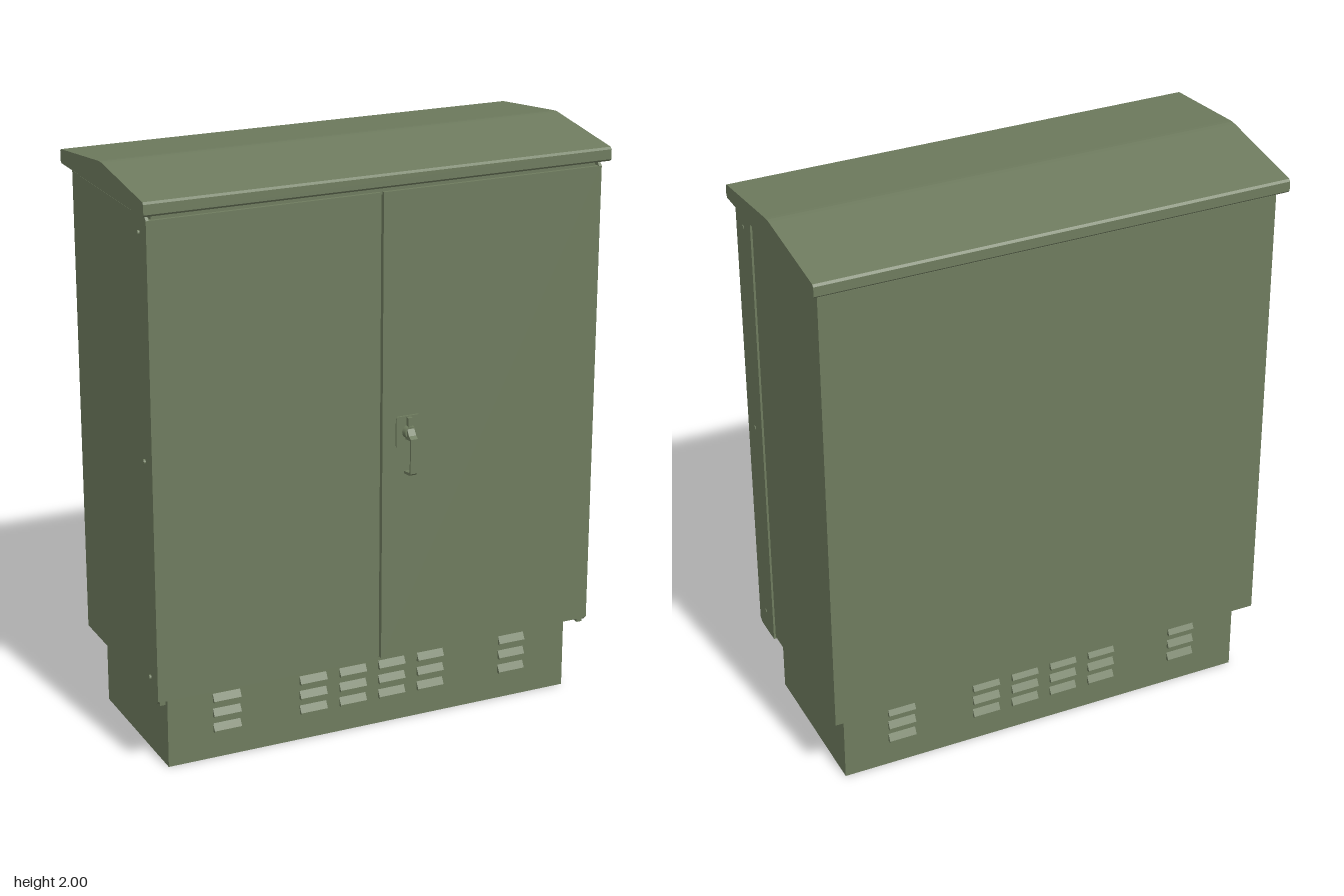
import * as THREE from 'three';

export function createModel() {
  const green = new THREE.MeshStandardMaterial({ color: 0x6e7b5e });
  green.name = 'olive green paint';
  const root = new THREE.Group();
  root.name = 'streetCabinet';

  const add = (name, geometry, parent = root) => {
    const mesh = new THREE.Mesh(geometry, green);
    mesh.name = name;
    parent.add(mesh);
    return mesh;
  };
  // Box given by its limits on each axis
  const box = (name, x0, x1, y0, y1, z0, z1, parent) => {
    const m = add(name, new THREE.BoxGeometry(x1 - x0, y1 - y0, z1 - z0), parent);
    m.position.set((x0 + x1) / 2, (y0 + y1) / 2, (z0 + z1) / 2);
    return m;
  };
  // Side outline of [z, y] points, extruded along x
  const profile = (points, x0, x1) => {
    const shape = new THREE.Shape(points.map(([z, y]) => new THREE.Vector2(-z, y)));
    const g = new THREE.ExtrudeGeometry(shape, { depth: x1 - x0, bevelEnabled: false });
    return g.rotateY(Math.PI / 2).translate(x0, 0, 0);
  };

  // Plinth, body and neck under the roof
  box('plinth', -0.745, 0.745, 0, 0.28, -0.29, 0.275);
  box('body', -0.793, 0.793, 0.27, 1.89, -0.342, 0.315);
  box('neck', -0.78, 0.78, 1.88, 1.92, -0.31, 0.325);

  // Pitched roof with small rounded eaves
  add('roof', profile([
    [0.358, 1.91], [0.365, 1.917], [0.365, 1.95], [0.358, 1.957], [0.01, 1.999],
    [-0.004, 2], [-0.02, 1.999], [-0.374, 1.957], [-0.381, 1.95], [-0.381, 1.917], [-0.374, 1.91],
  ], -0.818, 0.818));

  // Double doors, side flanges and fixings
  for (const s of [-1, 1]) {
    const [a, b] = s < 0 ? [-0.795, -0.005] : [0.005, 0.795];
    box(s < 0 ? 'rightDoor' : 'leftDoor', a, b, 0.272, 1.89, 0.318, 0.336);
    const [c, d] = s < 0 ? [-0.8, -0.79] : [0.79, 0.8];
    add('sideFlange', profile([
      [0.207, 0.262], [0.322, 0.262], [0.336, 0.276], [0.336, 1.89], [0.322, 1.905], [0.207, 1.905],
    ], c, d));
    for (const y of [0.34, 1.09, 1.84]) {
      const rivet = add('flangeRivet', new THREE.CylinderGeometry(0.008, 0.008, 0.008, 12));
      rivet.rotation.z = Math.PI / 2;
      rivet.position.set(s < 0 ? -0.803 : 0.798, y, 0.275);
    }
    // Folded tabs under the door corners
    box('doorTab', s * 0.78 - 0.01, s * 0.78 + 0.01, 0.255, 0.28, 0.29, 0.325);
  }

  // Ventilation louvres: wedges leaning out towards the bottom, front and back
  const louvre = profile([[-0.004, -0.012], [0.014, -0.012], [0.014, -0.006], [0, 0.018], [-0.004, 0.018]], -0.049, 0.049);
  for (const s of [1, -1]) {
    const vents = new THREE.Group();
    vents.name = s > 0 ? 'frontVents' : 'backVents';
    vents.position.z = s > 0 ? 0.275 : -0.29;
    if (s < 0) vents.rotation.y = Math.PI;
    root.add(vents);
    for (const x of [-0.535, -0.22, -0.073, 0.073, 0.22, 0.535]) {
      for (const y of [0.108, 0.162, 0.216]) add('louvre', louvre, vents).position.set(x, y, 0);
    }
  }

  // Swing handle: back plate, pivot and bent lever
  const handle = new THREE.Group();
  handle.name = 'handle';
  handle.position.x = 0.097;
  root.add(handle);
  const plate = new THREE.Shape();
  const w = 0.044, h = 0.054, r = 0.01;
  plate.absarc(w - r, h - r, r, 0, Math.PI / 2);
  plate.absarc(r - w, h - r, r, Math.PI / 2, Math.PI);
  plate.absarc(r - w, r - h, r, Math.PI, Math.PI * 1.5);
  plate.absarc(w - r, r - h, r, Math.PI * 1.5, Math.PI * 2);
  add('handlePlate', new THREE.ExtrudeGeometry(plate, { depth: 0.008, bevelEnabled: false }), handle)
    .position.set(0, 1.075, 0.335);
  const pivot = add('handlePivot', new THREE.CylinderGeometry(0.02, 0.024, 0.016, 20), handle);
  pivot.rotation.x = Math.PI / 2;
  pivot.position.set(0, 1.075, 0.35);
  box('lockCover', -0.008, 0.008, 1.09, 1.125, 0.34, 0.356, handle);
  add('lever', profile([
    [0.345, 1.088], [0.358, 1.088], [0.372, 1.068], [0.386, 1.06], [0.386, 0.94], [0.376, 0.932],
    [0.336, 0.927], [0.336, 0.936], [0.372, 0.941], [0.379, 0.947], [0.379, 1.054], [0.345, 1.05],
  ], -0.013, 0.013), handle);

  return root;
}
